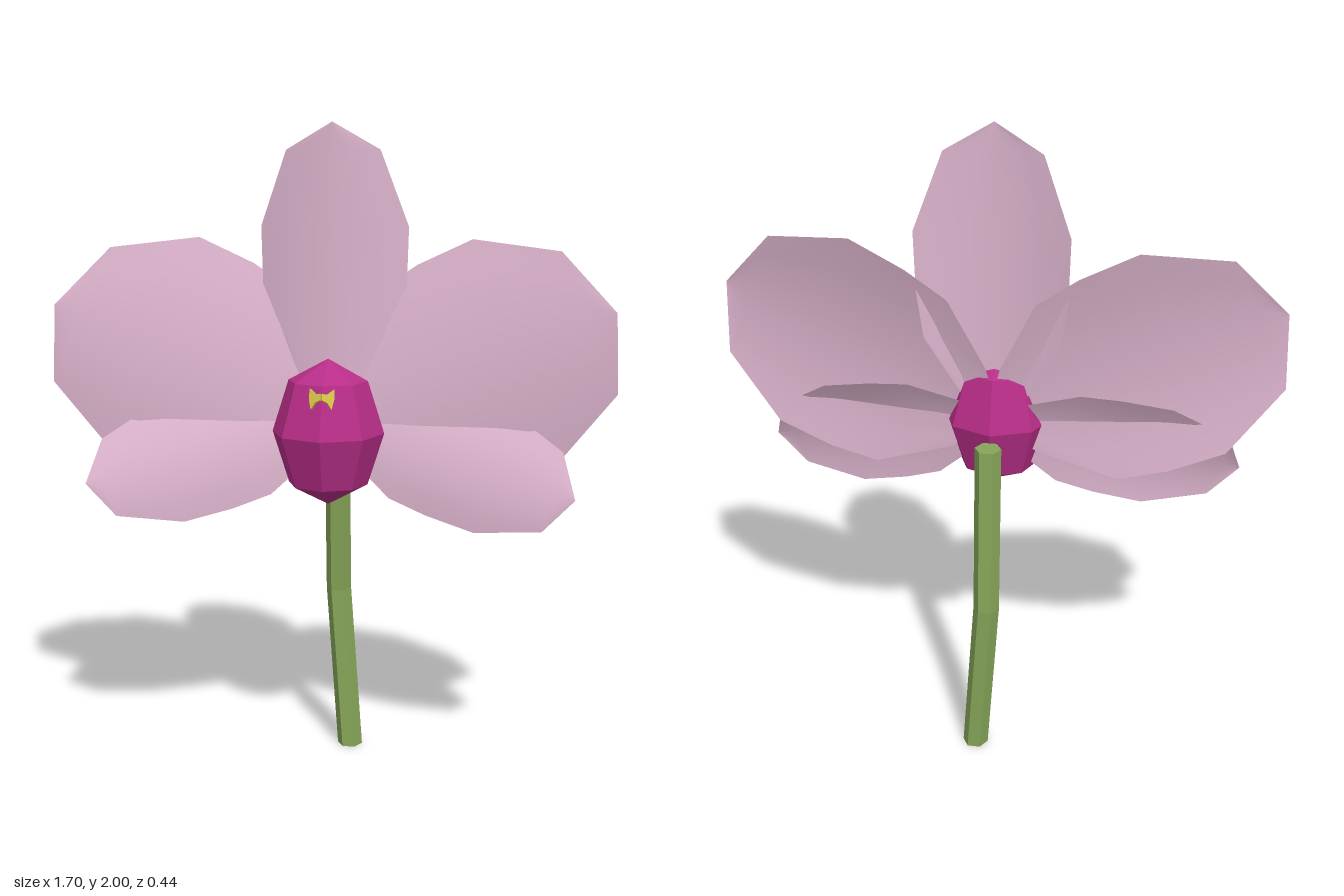
import * as THREE from 'three';

const mat = (name, color, opts = {}) => {
  const m = new THREE.MeshStandardMaterial({ color, ...opts });
  m.name = name;
  return m;
};

// Outline shared by every petal: [fraction of length, fraction of half width]
const OUTLINE = [[0, 0.12], [0.1, 0.45], [0.3, 0.9], [0.46, 0.98], [0.66, 1], [0.91, 0.63], [1, 0]];
const COLUMNS = 6;

// Cupped petal: a flat outline along an angle, bent forward by sweep, tilt and cup
function petalGeometry({ angle, length, half, z0, sweep, tilt, cup }) {
  const ux = Math.cos(angle), uy = Math.sin(angle);
  const pos = [], index = [];
  for (const [t, w] of OUTLINE) {
    for (let c = 0; c <= COLUMNS; c++) {
      const a = t * length;
      const n = (c / COLUMNS * 2 - 1) * w * half;
      const x = a * ux - n * uy;
      pos.push(x, 1.1 + a * uy + n * ux, z0 + sweep * x - tilt * n - cup * n * n);
    }
  }
  const row = COLUMNS + 1;
  for (let r = 0; r < OUTLINE.length - 1; r++) {
    for (let c = 0; c < COLUMNS; c++) {
      const i = r * row + c;
      index.push(i, i + row, i + 1);
      if (r < OUTLINE.length - 2) index.push(i + 1, i + row, i + row + 1);
    }
  }
  // The last row is a single point, so only one triangle per column is needed there
  const g = new THREE.BufferGeometry();
  g.setAttribute('position', new THREE.Float32BufferAttribute(pos, 3));
  g.setIndex(index);
  g.computeVertexNormals();
  return g;
}

// Mirror across x, turning the faces back outward
function mirrored(geometry) {
  const g = geometry.clone().scale(-1, 1, 1);
  const ix = g.index.array;
  for (let i = 0; i < ix.length; i += 3) [ix[i + 1], ix[i + 2]] = [ix[i + 2], ix[i + 1]];
  g.computeVertexNormals();
  return g;
}

export function createModel() {
  const group = new THREE.Group();
  const pink = mat('petal pink', 0xdcb4cd, { side: THREE.DoubleSide });
  const magenta = mat('pouch magenta', 0xb82d88, { flatShading: true });
  const green = mat('stem green', 0x86a558, { flatShading: true });
  const yellow = mat('mark yellow', 0xd6c548, { flatShading: true });
  const add = (name, geometry, material) => {
    const m = new THREE.Mesh(geometry, material);
    m.name = name;
    group.add(m);
    return m;
  };

  // Upper sepal
  add('upperSepal', petalGeometry({
    angle: Math.PI / 2, length: 0.9, half: 0.225, z0: -0.03, sweep: 0, tilt: 0, cup: 1,
  }), pink);

  // Broad side petals and the lower sepals, in mirrored pairs
  const petal = petalGeometry({
    angle: 0.405, length: 0.914, half: 0.35, z0: -0.04, sweep: 0.113, tilt: 0.1, cup: 0.37,
  });
  const sepal = petalGeometry({
    angle: -0.238, length: 0.76, half: 0.187, z0: -0.04, sweep: 0.23, tilt: 0.3, cup: 1,
  });
  add('leftPetal', petal, pink);
  add('rightPetal', mirrored(petal), pink);
  add('leftLowerSepal', sepal, pink);
  add('rightLowerSepal', mirrored(sepal), pink);

  // Faceted pouch
  const pouch = add('pouch', new THREE.SphereGeometry(0.17, 8, 4).scale(1, 1.31, 1), magenta);
  pouch.position.set(0, 1.088, 0.05);

  // Small two-lobed mark on the front of the pouch
  const lobe = new THREE.Shape([
    [0, 0.012], [0.014, 0.01], [0.036, 0.028], [0.037, -0.002], [0.03, -0.033],
    [0.016, -0.014], [0, -0.008],
  ].map(([x, y]) => new THREE.Vector2(x, y)).reverse());
  const lobeGeometry = new THREE.ExtrudeGeometry(lobe, { depth: 0.009, bevelEnabled: false });
  for (const s of [1, -1]) {
    const g = lobeGeometry.clone();
    if (s < 0) g.rotateY(Math.PI).translate(0, 0, 0.009);
    const m = add(s > 0 ? 'leftMark' : 'rightMark', g, yellow);
    m.position.set(0, 1.213, 0.181);
    m.rotation.set(-0.31, s * 0.39, 0);
  }

  // Six-sided stem with one bend: each ring is shifted to its place on the path
  const path = [[0.04, -0.165], [0, -0.182], [0, -0.143]];
  const stem = new THREE.CylinderGeometry(0.04, 0.04, 1.06, 6, 2).rotateY(Math.PI / 6).translate(0, 0.53, 0);
  const p = stem.attributes.position;
  for (let i = 0; i < p.count; i++) {
    const [x, z] = path[Math.round(p.getY(i) / 0.53)];
    p.setXYZ(i, p.getX(i) + x, p.getY(i), p.getZ(i) + z);
  }
  stem.computeVertexNormals();
  add('stem', stem, green);

  return group;
}
